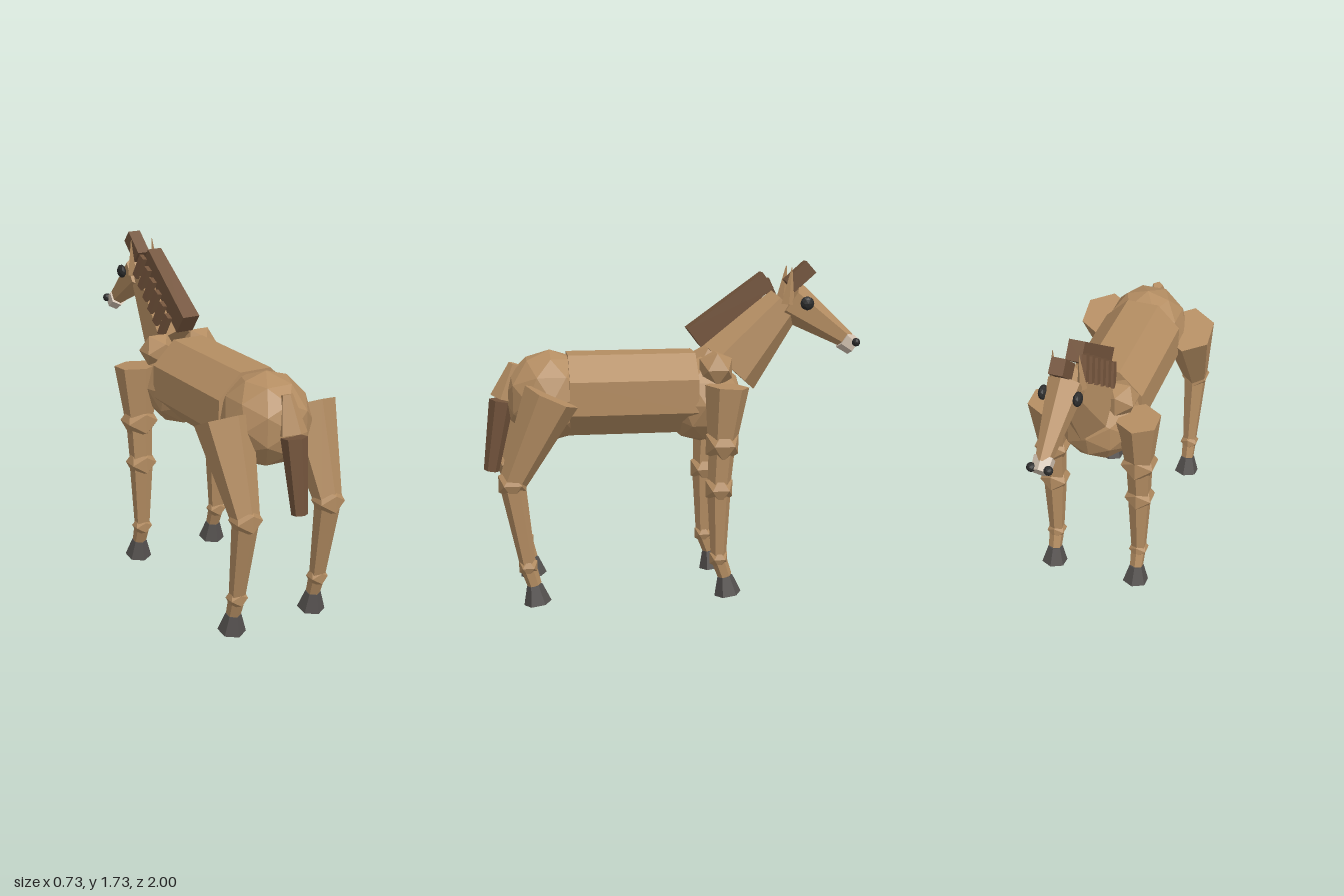
import * as THREE from 'three';

const mat = (color) => new THREE.MeshStandardMaterial({ color, flatShading: true });

export function createModel() {
  const horse = new THREE.Group();
  horse.name = 'horse';
  const coat = mat(0xb48d62), hair = mat(0x73543c), hoofMat = mat(0x54504e);
  const dark = mat(0x2b2b2b), pale = mat(0xcfbfae);

  const add = (name, geometry, material, parent = horse) => {
    const mesh = new THREE.Mesh(geometry, material);
    mesh.name = name;
    parent.add(mesh);
    return mesh;
  };

  // Tapered prism from point a (radius ra) to the higher point b (radius rb)
  const prism = (name, a, b, ra, rb, material, { sides = 6, sx = 1, turn = 0, parent = horse } = {}) => {
    const from = new THREE.Vector3(...a), to = new THREE.Vector3(...b);
    const axis = to.clone().sub(from);
    const g = new THREE.CylinderGeometry(rb, ra, axis.length(), sides);
    g.rotateY(turn);
    g.scale(sx, 1, 1);
    const mesh = add(name, g, material, parent);
    mesh.position.copy(from).add(to).multiplyScalar(0.5);
    mesh.quaternion.setFromUnitVectors(new THREE.Vector3(0, 1, 0), axis.normalize());
    return mesh;
  };

  const ball = (name, p, r, material, detail = 0, parent = horse) => {
    const mesh = add(name, new THREE.IcosahedronGeometry(r, detail), material, parent);
    mesh.position.set(...p);
    return mesh;
  };

  // Trunk
  prism('barrel', [0, 1.07, -0.1], [0, 1.07, 0.56], 0.225, 0.225, coat, { sides: 8, turn: Math.PI / 8 });
  ball('rump', [0, 1.06, 0.65], 0.24, coat, 1).scale.x = 0.93;
  ball('chest', [0, 1.02, -0.14], 0.225, coat, 1);

  // Neck and head
  prism('neck', [0, 1.19, -0.29], [0, 1.52, -0.59], 0.185, 0.1, coat, { sx: 0.65 });
  prism('head', [0, 1.315, -0.935], [0, 1.535, -0.61], 0.045, 0.112, coat, { sx: 0.8 });
  prism('muzzle', [0, 1.283, -0.965], [0, 1.325, -0.905], 0.05, 0.055, pale, { sx: 0.95 });

  // Mane along the crest, forelock, and locks falling on the right side
  prism('mane', [0, 1.35, -0.1], [0, 1.645, -0.49], 0.085, 0.07, hair,
    { sides: 4, turn: Math.PI / 4, sx: 0.8 });
  const forelock = add('forelock', new THREE.BoxGeometry(0.07, 0.08, 0.15), hair);
  forelock.position.set(0, 1.66, -0.665);
  forelock.rotation.x = 0.72;
  for (let i = 0; i < 6; i++) {
    const t = i / 5;
    const lock = add('maneLock', new THREE.BoxGeometry(0.025, 0.13, 0.045), hair);
    lock.position.set(-0.085 + 0.025 * t, 1.33 + 0.25 * t, -0.2 - 0.32 * t);
    lock.rotation.set(0.45, 0, -0.12);
  }

  // Tail
  prism('tailDock', [0, 1.05, 0.885], [0, 1.23, 0.83], 0.075, 0.03, coat, { sides: 5 });
  prism('tail', [0, 0.67, 0.962], [0, 1.04, 0.9], 0.04, 0.065, hair);

  // One leg: a chain of tapered bones with faceted joints, ending in a hoof
  const leg = (name, x, { thigh, joints, bones, pastern, toe }) => {
    const group = new THREE.Group();
    group.name = name;
    horse.add(group);
    const o = { parent: group };
    const at = ([y, z]) => [x, y, z];
    prism('upperLeg', at(joints[0].p), at(thigh.p), thigh.low, thigh.top, coat, o);
    joints.forEach((j, i) => {
      ball('joint', at(j.p), j.r, coat, 0, group);
      if (i > 0) prism('lowerLeg', at(j.p), at(joints[i - 1].p), bones[i - 1][1], bones[i - 1][0], coat, o);
    });
    prism('pastern', at(pastern), at(joints[joints.length - 1].p), 0.037, 0.042, coat, o);
    prism('hoof', at(toe), at(pastern), 0.071, 0.04, hoofMat, o);
  };

  for (const s of [1, -1]) {
    const side = s > 0 ? 'Left' : 'Right';

    leg('front' + side + 'Leg', s * 0.237, {
      thigh: { p: [1.125, -0.24], top: 0.115, low: 0.075 },
      joints: [{ p: [0.825, -0.215], r: 0.1 }, { p: [0.59, -0.2], r: 0.083 }, { p: [0.215, -0.2], r: 0.055 }],
      bones: [[0.07, 0.06], [0.063, 0.04]],
      pastern: [0.115, -0.235], toe: [0.018, -0.25],
    });
    leg('rear' + side + 'Leg', s * 0.238, {
      thigh: { p: [1.095, 0.655], top: 0.144, low: 0.07 },
      joints: [{ p: [0.655, 0.86], r: 0.083 }, { p: [0.215, 0.79], r: 0.055 }],
      bones: [[0.066, 0.04]],
      pastern: [0.115, 0.76], toe: [0.018, 0.745],
    });

    // Shoulder, ear, eye and nostril
    ball('shoulder', [s * 0.125, 1.2, -0.2], 0.1, coat);
    prism('ear', [s * 0.07, 1.52, -0.59], [s * 0.064, 1.71, -0.61], 0.035, 0.002, coat,
      { sides: 4, sx: 0.7 });
    ball('eye', [s * 0.085, 1.525, -0.69], 0.037, dark, 1).scale.x = 0.6;
    ball('nostril', [s * 0.042, 1.31, -0.97], 0.023, dark, 1);
  }

  return horse;
}
